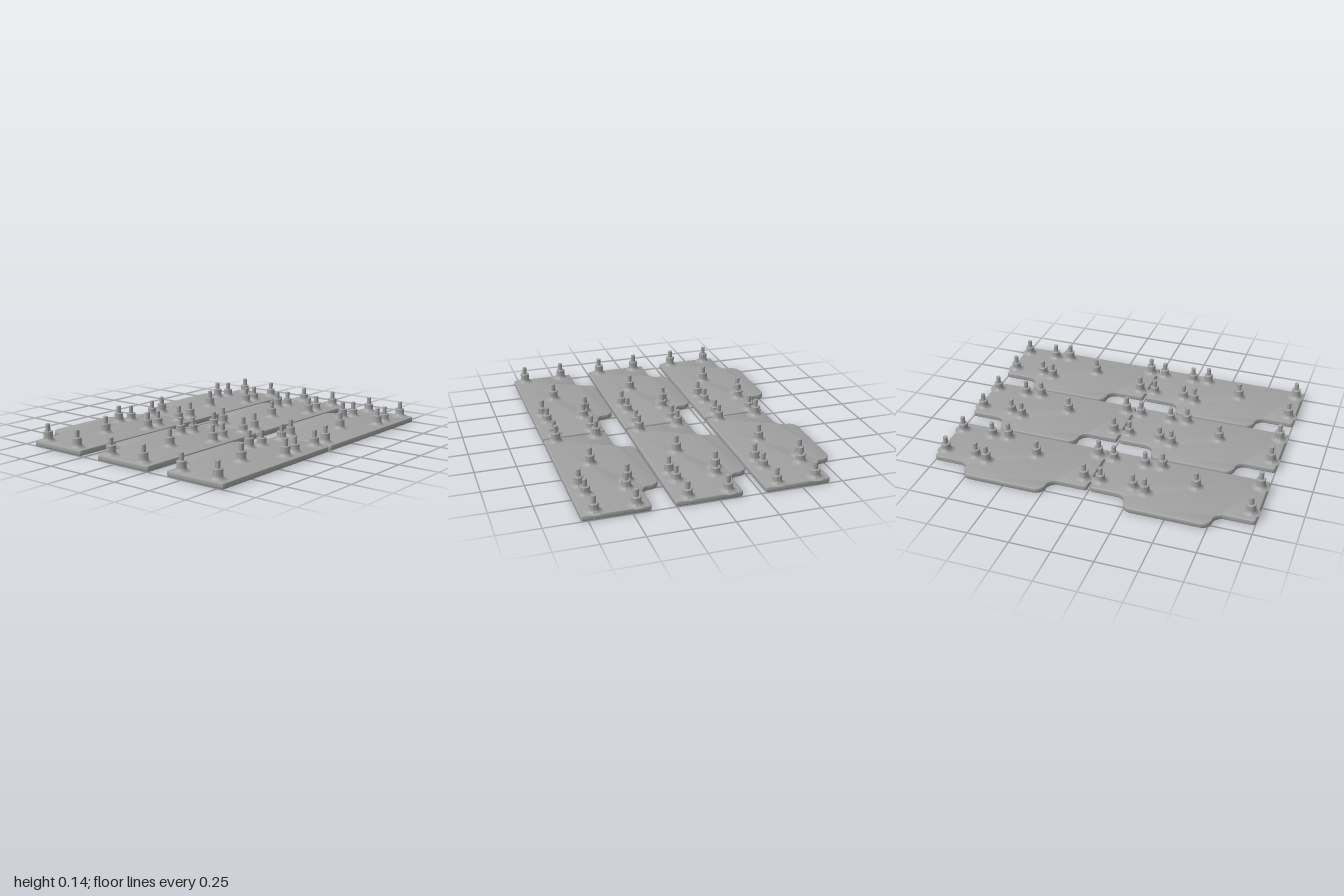
import * as THREE from 'three';
import { toCreasedNormals } from 'three/addons/utils/BufferGeometryUtils.js';

const H = 0.034; // plate thickness
const B = 0.007; // rounding of the plate rims

// Plate outline in x and z, origin in the middle of one plate
function plateOutline() {
  const x0 = -0.258, x1 = -0.14, x2 = 0.257, z0 = -0.495, z1 = 0.495;
  const t0 = -0.265, t1 = 0.262; // ends of the side tab
  const c = 0.015, r = 0.059;
  const s = new THREE.Shape();
  s.moveTo(x1 + c, z0);
  s.lineTo(x2 - c, z0);
  s.absarc(x2 - c, z0 + c, c, -Math.PI / 2, 0, false);
  s.absarc(x2 - c, z1 - c, c, 0, Math.PI / 2, false);
  s.absarc(x1 + c, z1 - c, c, Math.PI / 2, Math.PI, false);
  // tab: inner fillet, outer corner, outer corner, inner fillet
  s.absarc(x1 - r, t1 + r, r, 0, -Math.PI / 2, true);
  s.absarc(x0 + r, t1 - r, r, Math.PI / 2, Math.PI, false);
  s.absarc(x0 + r, t0 + r, r, Math.PI, Math.PI * 1.5, false);
  s.absarc(x1 - r, t0 - r, r, Math.PI / 2, 0, true);
  s.absarc(x1 + c, z0 + c, c, Math.PI, Math.PI * 1.5, false);
  return s;
}

function plateGeometry() {
  const g = new THREE.ExtrudeGeometry(plateOutline(), {
    depth: H - 2 * B, bevelEnabled: true, bevelThickness: B, bevelSize: B,
    bevelOffset: -B, bevelSegments: 4, curveSegments: 10,
  });
  g.rotateX(Math.PI / 2).translate(0, H - B, 0);
  return toCreasedNormals(g, 0.6);
}

// Stepped peg with a flared foot, lowered by drop
function pegGeometry(drop) {
  const pts = [];
  const f = 0.027; // flare radius
  for (let i = 0; i <= 6; i++) {
    const a = (i / 6) * Math.PI / 2;
    pts.push([0.028 + f - f * Math.sin(a), H + f - f * Math.cos(a)]);
  }
  const top = 0.141 - drop, step = 0.096 - drop;
  pts.push([0.028, step - 0.003], [0.025, step], [0.014, step],
    [0.014, top - 0.002], [0.012, top], [0, top]);
  const g = new THREE.LatheGeometry(pts.map(p => new THREE.Vector2(...p)), 28);
  return toCreasedNormals(g, 0.6);
}

export function createModel() {
  const model = new THREE.Group();
  model.name = 'plateSet';
  const grey = new THREE.MeshStandardMaterial({ color: 0xa0a0a0 });
  grey.name = 'grey';

  const plateGeo = plateGeometry();
  const tallGeo = pegGeometry(0);
  const shortGeo = pegGeometry(0.01);

  // peg positions on one plate
  const shortPegs = [[-0.061, -0.457], [0.177, -0.457], [-0.061, -0.256], [0.177, -0.256]];
  const tallPegs = [[-0.09, -0.173], [0.187, -0.15], [0.061, 0.094],
    [-0.066, 0.452], [0.187, 0.452]];

  for (const x of [-0.532, 0, 0.532]) {
    for (const z of [-0.505, 0.505]) {
      const unit = new THREE.Group();
      unit.name = 'plateWithPegs';
      const plate = new THREE.Mesh(plateGeo, grey);
      plate.name = 'plate';
      unit.add(plate);
      const addPegs = (list, geo, name) => {
        for (const [px, pz] of list) {
          const peg = new THREE.Mesh(geo, grey);
          peg.name = name;
          peg.position.set(px, 0, pz);
          unit.add(peg);
        }
      };
      addPegs(shortPegs, shortGeo, 'shortPeg');
      addPegs(tallPegs, tallGeo, 'tallPeg');
      unit.position.set(x, 0, z);
      model.add(unit);
    }
  }
  return model;
}
